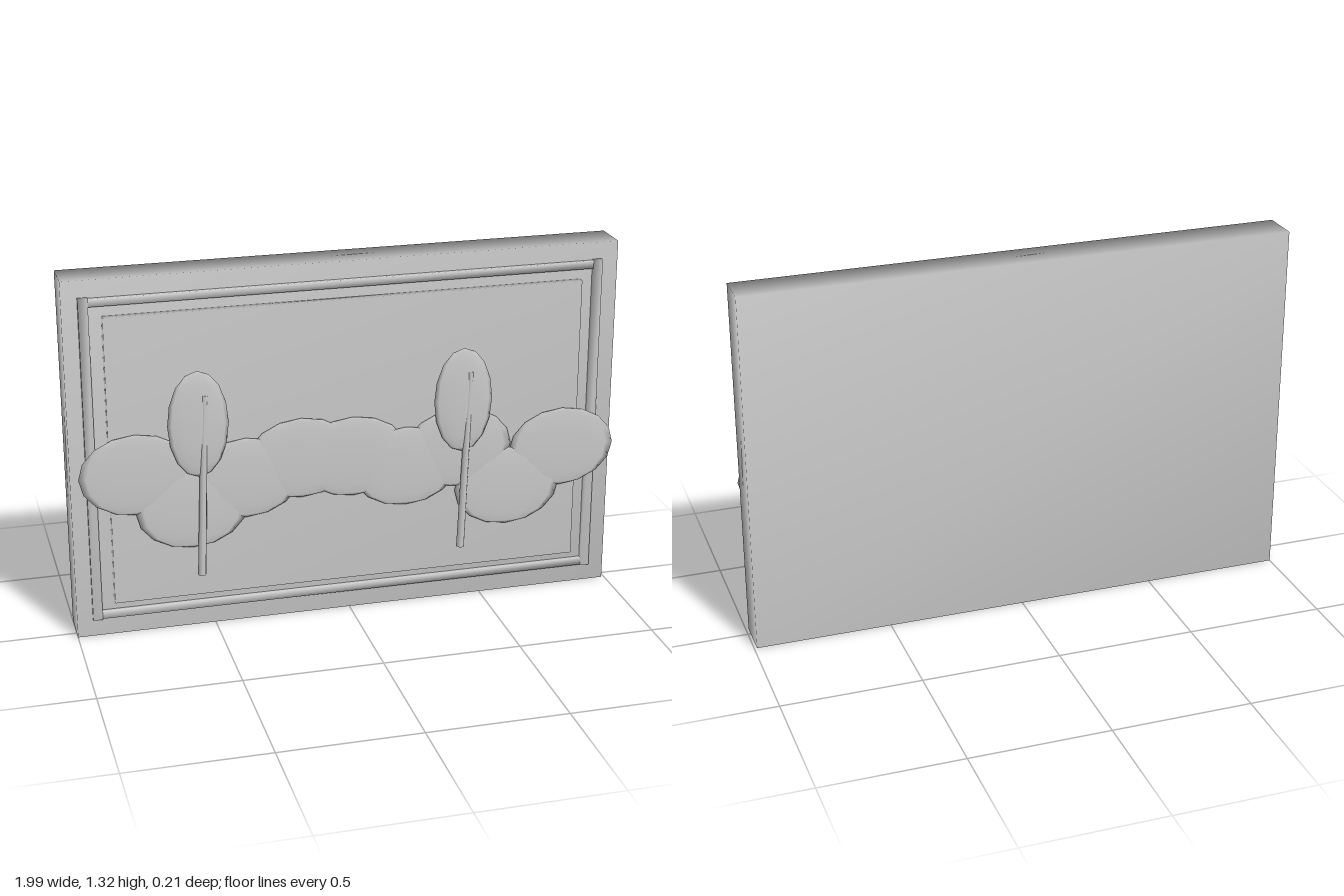
import * as THREE from 'three';
import { mergeVertices } from 'three/addons/utils/BufferGeometryUtils.js';

const material = new THREE.MeshStandardMaterial({ color: 0xcccccc });

// Shares corner normals so flat-sided parts shade softly
function soften(geometry) {
  geometry.deleteAttribute('normal');
  geometry.deleteAttribute('uv');
  const welded = mergeVertices(geometry);
  welded.computeVertexNormals();
  return welded;
}

export function createModel() {
  const model = new THREE.Group();
  model.name = 'reliefPlaque';

  function add(name, geometry, x, y, z, parent = model) {
    const mesh = new THREE.Mesh(geometry, material);
    mesh.name = name;
    mesh.position.set(x, y, z);
    parent.add(mesh);
    return mesh;
  }

  // Box given by its limits
  function slab(name, x0, x1, y0, y1, z0, z1) {
    const box = soften(new THREE.BoxGeometry(x1 - x0, y1 - y0, z1 - z0));
    add(name, box, (x0 + x1) / 2, (y0 + y1) / 2, (z0 + z1) / 2);
  }

  // Flattened low-poly ball
  function disc(name, x, y, z, rx, ry, rz, parent) {
    const ball = new THREE.SphereGeometry(1, 12, 8);
    ball.scale(rx, ry, rz);
    return add(name, ball, x, y, z, parent);
  }

  // Backing board and raised picture panel
  slab('board', -1, 0.99, 0, 1.32, -0.105, 0.035);
  slab('panel', -0.865, 0.85, 0.13, 1.19, 0.02, 0.061);

  // Frame moulding
  slab('topRail', -0.94, 0.925, 1.228, 1.256, 0.02, 0.049);
  slab('bottomRail', -0.94, 0.925, 0.069, 0.098, 0.02, 0.049);
  slab('rightStile', -0.944, -0.91, 0.066, 1.259, 0.02, 0.05);
  slab('leftStile', 0.895, 0.929, 0.066, 1.259, 0.02, 0.05);

  // Band of overlapping rounded hills: centre x, y
  const hills = [
    [-0.775, 0.615], [-0.58, 0.47], [-0.385, 0.565], [-0.185, 0.62], [0.005, 0.607],
    [0.2, 0.55], [0.395, 0.602], [0.585, 0.435], [0.79, 0.567],
  ];
  hills.forEach(([x, y]) => disc('hill', x, y, 0.07, 0.2, 0.15, 0.007));

  // Two trees with leaning trunks
  [-0.555, 0.405].forEach((x) => {
    const tree = new THREE.Group();
    tree.name = 'tree';
    tree.position.x = x;
    model.add(tree);
    disc('foliage', 0, 0.79, 0.09, 0.108, 0.195, 0.012, tree);
    const trunk = add('trunk', new THREE.CylinderGeometry(0.012, 0.015, 0.675, 8), 0.012, 0.558, 0.091, tree);
    trunk.rotation.z = -0.037;
  });

  return model;
}
